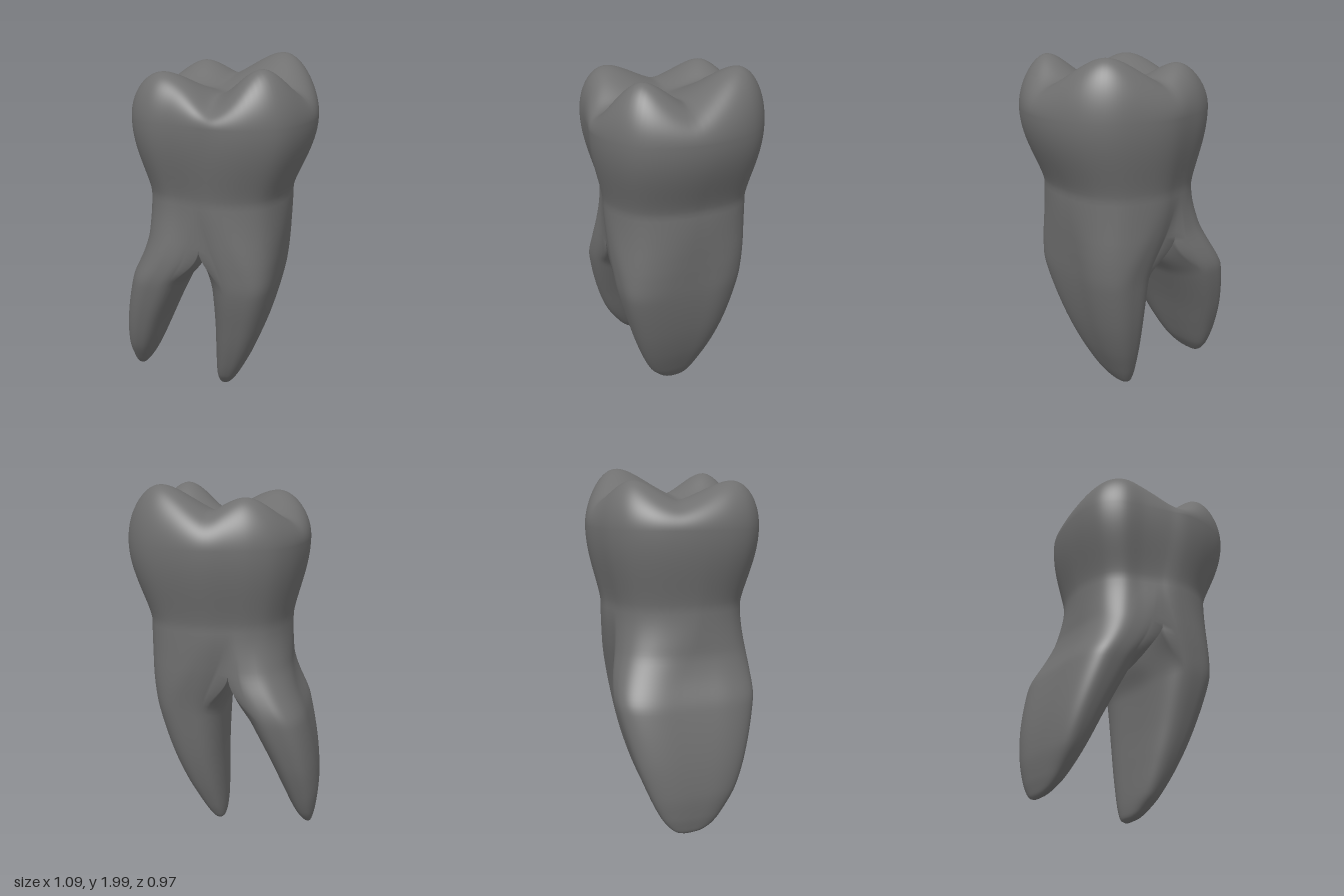
import * as THREE from 'three';
import { mergeGeometries, mergeVertices } from 'three/addons/utils/BufferGeometryUtils.js';

const N = 120, HALF = N / 2; // points around the crown
const M = 28; // points across the arch between the roots
const NECK = 1.27, WIDEST = 1.69, FORK = 1.01; // heights
const OPEN = Math.PI / 2 + .4; // half angle of a root's outer side
const V = (x, y, z) => new THREE.Vector3(x, y, z);
const smooth = (t) => THREE.MathUtils.smoothstep(t, 0, 1);
const lerp = THREE.MathUtils.lerp;

// widest crown outline (x, z), from front middle through the left side and back
const outline = new THREE.CatmullRomCurve3([
  [-.04, .445], [.08, .48], [.24, .465], [.4, .39], [.5, .23], [.545, 0], [.5, -.24], [.4, -.37], [.24, -.45], [.08, -.485],
  [-.08, -.462], [-.2, -.43], [-.3, -.37], [-.38, -.26], [-.43, -.11], [-.45, .05], [-.44, .19], [-.4, .29], [-.31, .37], [-.18, .405],
].map(([x, z]) => V(x, 0, z)), true);
const rim = Array.from({ length: N }, (_, i) => outline.getPoint(i / N));

// neck outline, fuller at the back left corner than at the front right one
const neck = rim.map(({ x, z }) => {
  const corner = 1 + .4 * Math.max(0, -x * z) * Math.sign(x);
  return V((x * .785 - .018) * corner, NECK, z * .83 * corner);
});

// cusps: x, z, height above the fissures, radius
const cusps = [[-.27, .25, .165, .28], [.29, .3, .2, .22], [.34, -.26, .228, .3], [-.14, -.3, .165, .23]];
const chewingHeight = (x, z) => {
  // soft maximum gives narrow fissures; a notch opens the front rim
  const k = 130;
  const sum = cusps.reduce((s, [cx, cz, a, r]) =>
    s + Math.exp(k * a * Math.exp(-((Math.hypot(x - cx, z - cz) / r) ** 1.8))), 0);
  const notch = .05 * Math.exp(-(((x - .06) / .12) ** 2) - ((z - .4) / .17) ** 2);
  return 1.785 + Math.log(sum / 1.6) / k - notch;
};

// root sections: y, inner x, outer x, back z, front z
const leftRoot = [
  [1.02, -.04, .412, -.36, .395], [.9, -.03, .405, -.352, .39], [.75, -.01, .385, -.335, .375], [.5, 0, .315, -.29, .3],
  [.3, -.002, .235, -.235, .225], [.13, -.004, .145, -.17, .14], [.06, 0, .1, -.135, .075], [.025, .008, .07, -.11, .025],
  [.01, .025, .045, -.08, -.03],
];
const rightRoot = [
  [1.02, -.04, -.4, -.43, .36], [.9, -.07, -.435, -.445, .35], [.75, -.145, -.485, -.445, .33], [.5, -.265, -.535, -.39, .26],
  [.3, -.35, -.55, -.32, .18], [.17, -.41, -.538, -.26, .09], [.11, -.45, -.525, -.215, .03], [.08, -.475, -.515, -.175, -.03],
  [.07, -.49, -.503, -.14, -.08],
];

// smooth interpolation of a section table at height y
function sectionAt(rows, y) {
  let i = 0;
  while (i < rows.length - 2 && y < rows[i + 1][0]) i++;
  const a = rows[i], b = rows[i + 1];
  const p = rows[Math.max(i - 1, 0)], q = rows[Math.min(i + 2, rows.length - 1)];
  const t = THREE.MathUtils.clamp((y - a[0]) / (b[0] - a[0]), 0, 1), h = b[0] - a[0];
  return a.map((_, c) => {
    const m0 = (b[c] - p[c]) / (b[0] - p[0]) * h, m1 = (q[c] - a[c]) / (q[0] - a[0]) * h;
    return (2 * t ** 3 - 3 * t * t + 1) * a[c] + (t ** 3 - 2 * t * t + t) * m0
      + (3 * t * t - 2 * t ** 3) * b[c] + (t ** 3 - t * t) * m1;
  });
}

// point on a root's surface at an angle (0 faces outwards) and height
function rootPoint(isLeft, angle, y) {
  const [, xi, xo, zb, zf] = sectionAt(isLeft ? leftRoot : rightRoot, y);
  const t = THREE.MathUtils.clamp(1 - y, 0, 1);
  const c = Math.cos(angle), s = Math.sin(angle);
  const bulge = (v) => Math.sign(v) * Math.abs(v) ** lerp(.66, .82, t);
  // shallow lengthwise furrow on the broad faces
  const furrow = 1 - .09 * Math.exp(-((s / .3) ** 2)) * (1 - t);
  // the left root's front lobe stands back from its outer side
  const setBack = isLeft && c > 0 ? .04 * c * smooth(s + .5) * (1 - t) : 0;
  return V(
    (xi + xo) / 2 + (xo - xi) / 2 * bulge(c) * furrow - setBack, y,
    (zb + zf) / 2 + (zf - zb) / 2 * bulge(s) * (isLeft ? 1 : -1));
}

// outer side of the trunk and roots: neck outline flowing into the root sections
const outerAngle = (j) => OPEN - 2 * OPEN * j / HALF;
function outerPoint(isLeft, j, y) {
  const p = neck[(isLeft ? j : j + HALF) % N];
  return p.clone().setY(y).lerp(rootPoint(isLeft, outerAngle(j), y), smooth((1.25 - y) / .5));
}

// skin over closed rings, ordered from top to bottom
function loft(rings) {
  const n = rings[0].length, index = [];
  for (let r = 0; r < rings.length - 1; r++) {
    for (let i = 0; i < n; i++) {
      const j = (i + 1) % n, a = r * n + i, b = a + n, c = (r + 1) * n + j, d = r * n + j;
      index.push(a, b, c, a, c, d);
    }
  }
  const g = new THREE.BufferGeometry().setFromPoints(rings.flat());
  g.setIndex(index);
  return g;
}

function crownRings() {
  const rings = [];
  // chewing surface, from the centre out to the widest line
  for (let k = 0; k <= 50; k++) {
    const f = Math.sin(k / 50 * Math.PI / 2);
    const round = Math.sqrt(Math.max(0, 1 - f ** 8));
    rings.push(rim.map((p) => {
      const x = .04 + (p.x - .04) * f, z = p.z * f;
      return V(x, WIDEST + (chewingHeight(x, z) - WIDEST) * round, z);
    }));
  }
  // side walls narrowing to the neck
  for (let k = 1; k <= 16; k++) {
    const v = 1 - k / 16, s = Math.sin(v * Math.PI / 2) ** 1.3;
    rings.push(rim.map((p, i) => V(
      lerp(neck[i].x, p.x, s), lerp(NECK, WIDEST, v), lerp(neck[i].z, p.z, s))));
  }
  // trunk under the neck; front and back middle points lie between both roots
  for (let k = 1; k <= 10; k++) {
    const y = lerp(NECK, FORK, k / 10);
    rings.push(rim.map((_, i) => {
      if (i % HALF) return outerPoint(i < HALF, i % HALF, y);
      return outerPoint(true, i, y).lerp(outerPoint(false, HALF - i, y), .5);
    }));
  }
  return rings;
}

// one root: half of the trunk ring plus the arch, drawn down to a rounded tip
function rootRings(trunk, isLeft) {
  const start = [], angles = [];
  for (let j = 0; j <= HALF; j++) {
    start.push(trunk[(isLeft ? j : j + HALF) % N]);
    angles.push(outerAngle(j));
  }
  for (let i = 1; i < M; i++) {
    const s = i / M, p = start[HALF].clone().lerp(start[0], s);
    p.y -= .06 * Math.sin(Math.PI * s);
    start.push(p);
    angles.push(-OPEN - (2 * Math.PI - 2 * OPEN) * s);
  }
  const rings = [start], steps = 50, tipY = (isLeft ? leftRoot : rightRoot).at(-1)[0];
  for (let k = 1; k <= steps; k++) {
    const t = 1 - (1 - k / steps) ** 1.5;
    rings.push(start.map((p, i) => {
      const y = lerp(p.y, tipY, t);
      if (i > 0 && i < HALF) return outerPoint(isLeft, i, y);
      return p.clone().setY(y).lerp(rootPoint(isLeft, angles[i], y), smooth((p.y - y) / .24));
    }));
  }
  const last = rings[steps];
  const end = last.reduce((sum, p) => sum.add(p), V(0, 0, 0)).divideScalar(last.length);
  rings.push(start.map(() => end.clone()));
  return rings;
}

export function createModel() {
  const tooth = new THREE.Group();
  tooth.name = 'molarTooth';
  const material = new THREE.MeshStandardMaterial({ color: 0x707070 });

  const crown = crownRings();
  const trunk = crown.at(-1);
  const parts = [loft(crown), loft(rootRings(trunk, true)), loft(rootRings(trunk, false))];

  // weld everything so the shading runs smoothly from crown to roots
  const skin = mergeVertices(mergeGeometries(parts), 1e-5);
  skin.computeVertexNormals();

  let offset = 0;
  ['crown', 'leftRoot', 'rightRoot'].forEach((name, i) => {
    const count = parts[i].index.count;
    const g = new THREE.BufferGeometry();
    g.setAttribute('position', skin.attributes.position);
    g.setAttribute('normal', skin.attributes.normal);
    g.setIndex(Array.from(skin.index.array.slice(offset, offset + count)));
    offset += count;
    const mesh = new THREE.Mesh(g, material);
    mesh.name = name;
    tooth.add(mesh);
  });
  return tooth;
}
